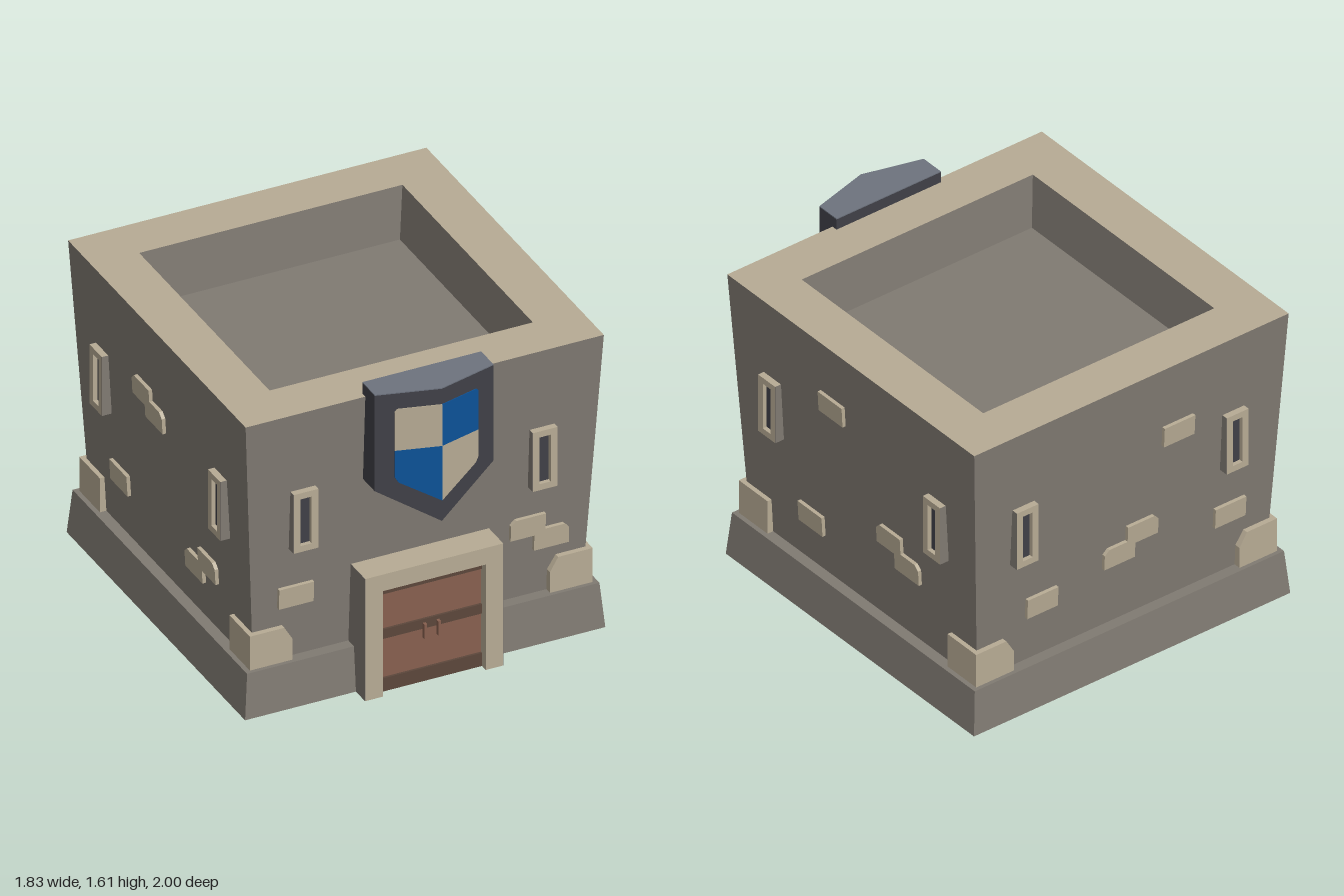
import * as THREE from 'three';

const mat = (name, color) => {
  const m = new THREE.MeshStandardMaterial({ color });
  m.name = name;
  return m;
};

export function createModel() {
  const stone = mat('grey stone', 0x807a72);
  const tan = mat('tan stone', 0xb7ab94);
  const wood = mat('brown wood', 0x87604f);
  const darkWood = mat('dark wood', 0x5c473b);
  const iron = mat('dark iron', 0x404047);
  const slate = mat('light slate', 0x6d737e);
  const blue = mat('blue paint', 0x0c5298);

  const root = new THREE.Group();
  root.name = 'keep';

  const add = (parent, name, geo, material, x = 0, y = 0, z = 0) => {
    const m = new THREE.Mesh(geo, material);
    m.name = name;
    m.position.set(x, y, z);
    parent.add(m);
    return m;
  };
  const box = (parent, name, material, w, h, d, x, y, z) =>
    add(parent, name, new THREE.BoxGeometry(w, h, d), material, x, y, z);
  const shape = pts => new THREE.Shape(pts.map(p => new THREE.Vector2(p[0], p[1])));
  const slab = (s, depth) => new THREE.ExtrudeGeometry(s, { depth, bevelEnabled: false });
  const rect = (w, y0, y1) => [[-w, y0], [w, y0], [w, y1], [-w, y1]];

  // Square loft: profile of [half width, height]
  const square = profile => {
    const pts = profile.map(([r, y]) => new THREE.Vector2(r * Math.SQRT2, y));
    const g = new THREE.LatheGeometry(pts, 4, Math.PI / 4).toNonIndexed();
    g.computeVertexNormals();
    return g;
  };

  const keep = new THREE.Group();
  keep.name = 'tower';
  keep.position.z = -0.085;
  root.add(keep);

  // Hollow plinth, leaning walls, parapet and sunken roof
  add(keep, 'plinthAndWalls', square([[0, 0.225], [0.88, 0.225], [0.905, 0], [0.91, 0],
    [0.89, 0.23], [0.833, 0.23], [0.905, 1.55]]), stone);
  add(keep, 'parapetTop', square([[0.905, 1.55], [0.665, 1.55]]), tan);
  add(keep, 'sunkenRoof', square([[0.665, 1.55], [0.64, 1.28], [0, 1.28]]), stone);

  // Corner stones, chamfered on their inner edge
  for (const sx of [-1, 1]) for (const sz of [-1, 1]) {
    const s = shape([[0.65, 0.22], [0.866, 0.22], [0.866, 0.41], [0.692, 0.41],
      [0.65, 0.34]].map(([x, y]) => [x * sx, y]));
    add(keep, 'cornerStone', slab(s, 0.21), tan, 0, 0, sz > 0 ? 0.66 : -0.87);
  }

  // Windows and loose bricks, per side: [across, height, chamfered corner]
  const lean = Math.atan(0.072 / 1.32);
  const wallAt = y => 0.833 + (y - 0.23) * 0.072 / 1.32;
  const bricks = {
    front: [[-0.63, 0.565, 0], [0.54, 0.61, -1], [0.66, 0.527, 1]],
    right: [[-0.152, 1.222, 0], [0.238, 0.7, -1], [0.365, 0.617, 1], [-0.35, 0.487, 0]],
    back: [[-0.48, 0.53, 0], [-0.04, 0.61, -1], [0.09, 0.69, 1], [0.28, 1.17, 0], [0.6, 0.56, 0]],
    left: [[-0.175, 1.15, -1], [-0.05, 1.09, 1], [0.29, 0.475, -1], [0.43, 0.545, 1], [-0.47, 0.52, 0]],
  };
  const turn = { front: 0, right: Math.PI / 2, back: Math.PI, left: -Math.PI / 2 };
  for (const side in bricks) {
    const g = new THREE.Group();
    g.name = side + 'Details';
    g.rotation.y = turn[side];
    keep.add(g);

    for (const [x, y, c] of bricks[side]) {
      const a = c < 0 ? 0.025 : 0, b = c > 0 ? 0.025 : 0;
      const s = shape([[-0.088, -0.053], [0.088, -0.053], [0.088, 0.053 - b], [0.088 - b, 0.053],
        [-0.088 + a, 0.053], [-0.088, 0.053 - a]]
        .filter((p, i, l) => !i || p[0] !== l[i - 1][0] || p[1] !== l[i - 1][1]));
      const m = add(g, 'brick', slab(s, 0.04), tan, x, y, wallAt(y) - 0.022);
      m.rotation.x = lean;
    }

    for (const x of [-0.604, 0.604]) {
      const s = shape(rect(0.062, 0.82, 1.132));
      s.holes.push(new THREE.Path(rect(0.028, 0.852, 1.1).map(p => new THREE.Vector2(...p))));
      add(g, 'windowFrame', slab(s, 0.075), tan, x, 0, 0.84);
      box(g, 'windowPane', iron, 0.07, 0.26, 0.01, x, 0.976, 0.888);
      for (const k of [-1, 1])
        box(g, 'windowFrameSide', stone, 0.002, 0.312, 0.075, x + k * 0.0625, 0.976, 0.8775);
    }
  }

  // Doorway
  const arch = shape([[-0.348, 0], [-0.26, 0], [-0.26, 0.56], [0.26, 0.56], [0.26, 0],
    [0.348, 0], [0.348, 0.648], [-0.348, 0.648]]);
  add(root, 'doorFrame', slab(arch, 0.18), tan, 0, 0, 0.738);
  for (const k of [-1, 1]) {
    box(root, 'doorFrameSide', stone, 0.002, 0.648, 0.18, k * 0.349, 0.324, 0.828);
    box(root, 'doorHandle', wood, 0.014, 0.075, 0.02, k * 0.035, 0.275, 0.892);
  }
  box(root, 'door', wood, 0.52, 0.56, 0.035, 0, 0.28, 0.85);
  for (const [y, h] of [[0.035, 0.07], [0.304, 0.05], [0.538, 0.044]])
    box(root, 'doorBand', darkWood, 0.52, h, 0.03, 0, y, 0.864);

  // Shield: slabs whose front folds back from a centre ridge
  const ridge = x => 0.995 - Math.abs(x) * 0.267;
  const folded = (pts, back, lift) => {
    const g = slab(shape(pts), 1), p = g.attributes.position;
    for (let i = 0; i < p.count; i++) {
      const front = ridge(p.getX(i)) + lift;
      p.setZ(i, p.getZ(i) > 0.5 ? front : back ?? front - 0.008);
    }
    g.computeVertexNormals();
    return g;
  };
  const shield = new THREE.Group();
  shield.name = 'shield';
  root.add(shield);
  for (const k of [-1, 1]) {
    const half = pts => pts.map(([x, y]) => [x * k, y]);
    add(shield, 'shieldBody', folded(half([[0, 0.905], [0.3, 1.1], [0.3, 1.606], [0, 1.606]]), 0.79, 0), iron);
    add(shield, 'upperQuarter', folded(half([[0, 1.305], [0.212, 1.305], [0.212, 1.51],
      [0.2, 1.525], [0, 1.525]]), null, 0.004), k > 0 ? blue : tan);
    add(shield, 'lowerQuarter', folded(half([[0, 1.015], [0.195, 1.135], [0.212, 1.165],
      [0.212, 1.305], [0, 1.305]]), null, 0.004), k > 0 ? tan : blue);
  }
  const cap = slab(shape([[-0.3, -0.79], [-0.3, -0.915], [0, -0.995], [0.3, -0.915], [0.3, -0.79]]), 0.005);
  cap.rotateX(-Math.PI / 2);
  add(shield, 'shieldTop', cap, slate, 0, 1.606, 0);

  return root;
}
